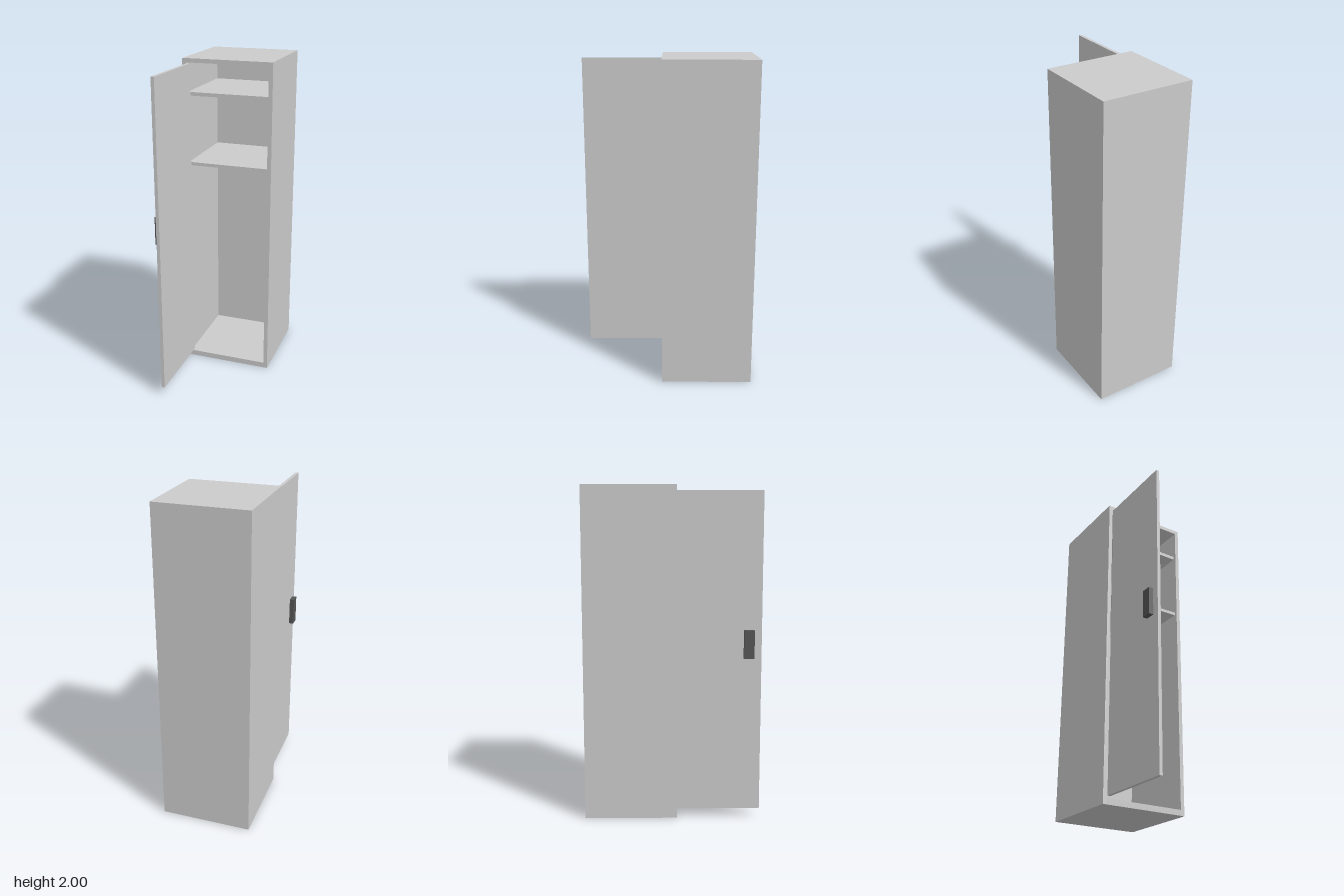
import * as THREE from 'three';

export function createModel() {
  const locker = new THREE.Group();
  locker.name = 'locker';
  const grey = new THREE.MeshStandardMaterial({ color: 0xcccccc });
  const dark = new THREE.MeshStandardMaterial({ color: 0x555555 });

  // Box given by its lower and upper limits on each axis
  const panel = (name, [x0, x1], [y0, y1], [z0, z1], material = grey) => {
    const mesh = new THREE.Mesh(new THREE.BoxGeometry(x1 - x0, y1 - y0, z1 - z0), material);
    mesh.position.set((x0 + x1) / 2, (y0 + y1) / 2, (z0 + z1) / 2);
    mesh.name = name;
    locker.add(mesh);
  };

  const outer = 0.28, inner = 0.255, back = -0.532, front = 0.027;
  const backInner = back + 0.025;

  // Cabinet shell, open at the front
  panel('leftSide', [inner, outer], [0, 2], [back, front]);
  panel('rightSide', [-outer, -inner], [0, 2], [back, front]);
  panel('backPanel', [-inner, inner], [0, 2], [back, backInner]);
  panel('bottomPanel', [-inner, inner], [0, 0.035], [backInner, front]);
  panel('topPanel', [-inner, inner], [1.975, 2], [backInner, front]);

  // Shelves, set back slightly to clear the closed door
  panel('upperShelf', [-inner, inner], [1.775, 1.797], [backInner, front - 0.02]);
  panel('lowerShelf', [-inner, inner], [1.34, 1.36], [backInner, front - 0.02]);

  // Door standing fully open, with its handle on the outer face
  panel('door', [-0.252, -0.232], [0.05, 1.97], [front, 0.532]);
  panel('doorHandle', [-0.28, -0.252], [0.985, 1.155], [0.425, 0.487], dark);

  return locker;
}
